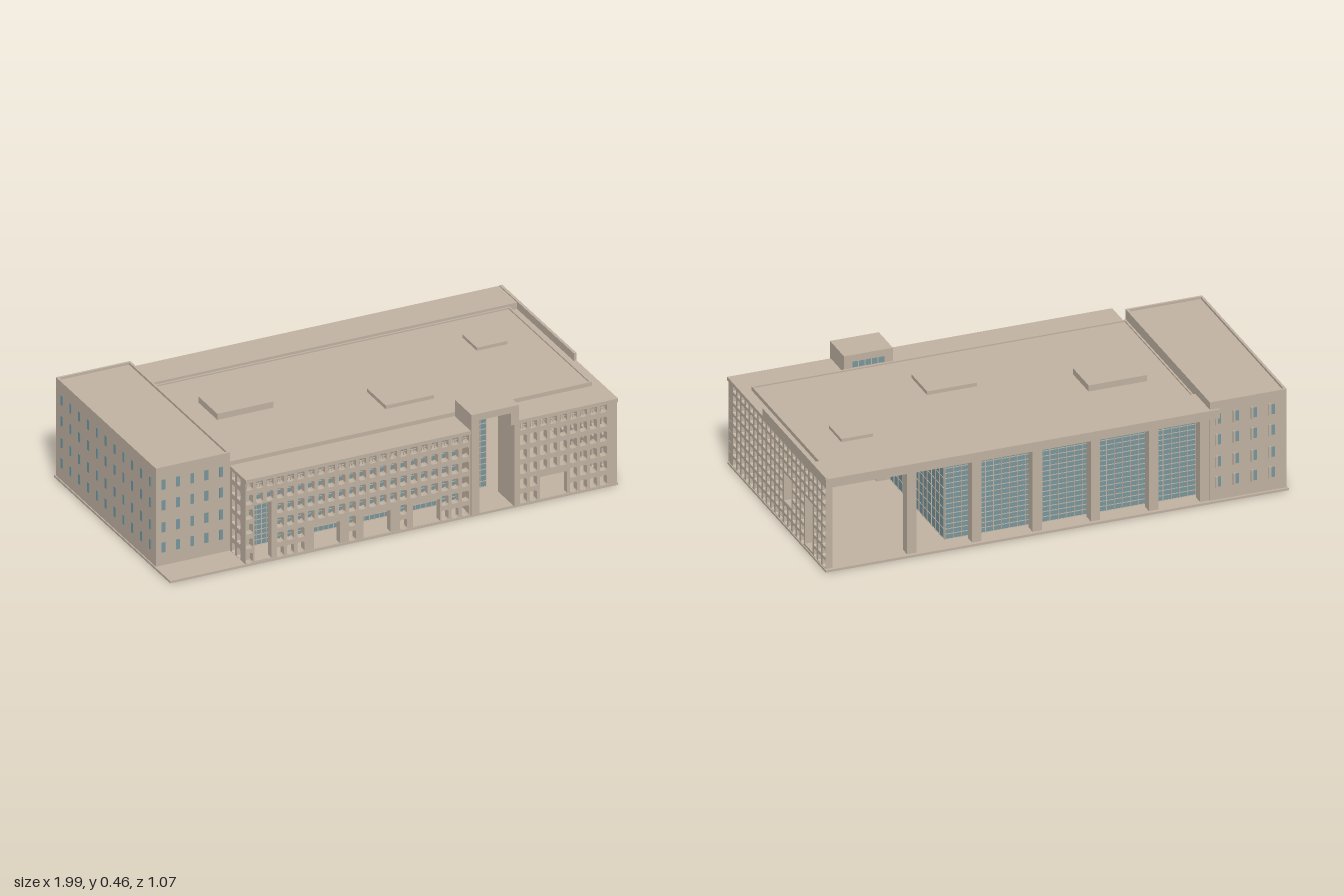
import * as THREE from 'three';

const stone = new THREE.MeshStandardMaterial({ color: 0xc0b2a2 });
stone.name = 'stone';
const glass = new THREE.MeshStandardMaterial({ color: 0x77969d, side: THREE.DoubleSide });
glass.name = 'glass';

// Box given by its limits on each axis
function box(parent, name, x0, x1, y0, y1, z0, z1, mat = stone) {
  const m = new THREE.Mesh(new THREE.BoxGeometry(x1 - x0, y1 - y0, z1 - z0), mat);
  m.position.set((x0 + x1) / 2, (y0 + y1) / 2, (z0 + z1) / 2);
  m.name = name;
  parent.add(m);
  return m;
}

// Hole outline with clipped corners
function holePath(u0, u1, v0, v1, c = 0.005) {
  return new THREE.Path([
    [u0 + c, v0], [u0, v0 + c], [u0, v1 - c], [u0 + c, v1],
    [u1 - c, v1], [u1, v1 - c], [u1, v0 + c], [u1 - c, v0],
  ].map(([u, v]) => new THREE.Vector2(u, v)));
}

// Perforated wall in the xy plane; the top row gets crossed bars
function screenWall(name, o) {
  const g = new THREE.Group();
  g.name = name;
  const s = new THREE.Shape();
  s.moveTo(o.u0, 0.01); s.lineTo(o.u1, 0.01); s.lineTo(o.u1, 0.382); s.lineTo(o.u0, 0.382);
  s.closePath();
  const openings = o.openings || [];
  for (const [a, b, c, d] of openings) s.holes.push(holePath(a, b, c, d, 0.001));
  for (let i = 0; i < o.cols; i++) {
    for (let j = 0; j < o.rows; j++) {
      const u = o.start + i * o.pitch, v = 0.358 - j * o.rise;
      const a = u - o.w / 2, b = u + o.w / 2, c = v - o.h / 2, d = v + o.h / 2;
      if (openings.some(([p, q, r, t]) => a < q + 0.003 && b > p - 0.003 && c < t + 0.003 && d > r - 0.003)) continue;
      s.holes.push(holePath(a, b, c, d));
      if (j === 0) {
        for (const k of [-1, 1]) {
          box(g, 'windowBar', u + k * 0.006 - 0.001, u + k * 0.006 + 0.001, c, d, 0.014, 0.018);
          box(g, 'windowBar', a, b, v + k * 0.006 - 0.001, v + k * 0.006 + 0.001, 0.014, 0.018);
        }
      }
    }
  }
  const m = new THREE.Mesh(new THREE.ExtrudeGeometry(s, { depth: 0.03, bevelEnabled: false }), stone);
  m.name = name + 'Panel';
  g.add(m);
  return g;
}

// Glass sheet in the xy plane with thin mullions on both sides
function glazing(name, u0, u1, v0, v1, nu, nv) {
  const g = new THREE.Group();
  g.name = name;
  box(g, 'pane', u0, u1, v0, v1, -0.002, 0.002, glass);
  for (let i = 0; i <= nu; i++) {
    const u = u0 + (u1 - u0) * i / nu;
    box(g, 'mullion', u - 0.0015, u + 0.0015, v0, v1, -0.005, 0.005);
  }
  for (let j = 0; j <= nv; j++) {
    const v = v0 + (v1 - v0) * j / nv;
    box(g, 'transom', u0, u1, v - 0.0015, v + 0.0015, -0.004, 0.004);
  }
  return g;
}

// Slab with a thin raised rim
function rimmedRoof(parent, name, x0, x1, y0, y1, z0, z1, rim, t) {
  box(parent, name, x0, x1, y0, y1, z0, z1);
  box(parent, name + 'Rim', x0, x0 + t, y1, y1 + rim, z0, z1);
  box(parent, name + 'Rim', x1 - t, x1, y1, y1 + rim, z0, z1);
  box(parent, name + 'Rim', x0 + t, x1 - t, y1, y1 + rim, z0, z0 + t);
  box(parent, name + 'Rim', x0 + t, x1 - t, y1, y1 + rim, z1 - t, z1);
}

export function createModel() {
  const model = new THREE.Group();
  model.name = 'building';
  const add = (g, x, z, ry = 0) => {
    g.position.set(x, 0, z);
    g.rotation.y = ry;
    model.add(g);
  };

  // Ground slab
  box(model, 'groundSlab', -0.995, 0.995, 0, 0.01, -0.535, 0.52);

  // Side block with small windows
  rimmedRoof(model, 'sideBlock', -0.99, -0.66, 0.01, 0.438, -0.525, 0.38, 0.01, 0.01);
  const levels = [0.09, 0.18, 0.278, 0.37];
  for (const y of levels) {
    for (let i = 0; i < 5; i++) {
      const x = -0.957 + i * 0.064;
      box(model, 'sideBlockFrontWindow', x - 0.008, x + 0.008, y - 0.022, y + 0.022, 0.378, 0.382, glass);
    }
    for (let i = 0; i < 4; i++) {
      const x = -0.93 + i * 0.077;
      box(model, 'sideBlockBackWindow', x - 0.008, x + 0.008, y - 0.022, y + 0.022, -0.528, -0.522, glass);
      box(model, 'windowFin', x + 0.008, x + 0.018, y - 0.026, y + 0.026, -0.532, -0.524);
    }
    for (let i = 0; i < 11; i++) {
      const z = -0.47 + i * 0.08;
      box(model, 'sideBlockEndWindow', -0.993, -0.987, y - 0.022, y + 0.022, z - 0.008, z + 0.008, glass);
    }
  }

  // Perforated outer walls
  const frontGrid = { rows: 6, rise: 0.065, w: 0.031, h: 0.044 };
  add(screenWall('frontScreen', {
    ...frontGrid, u0: -0.66, u1: 0.345, cols: 22, start: -0.642, pitch: 0.0457,
    openings: [[-0.62, -0.545, 0.015, 0.265], [-0.355, -0.24, 0.012, 0.11],
      [-0.135, -0.015, 0.012, 0.11], [0.085, 0.205, 0.012, 0.11]],
  }), 0, 0.488);
  add(screenWall('porchFrontScreen', {
    ...frontGrid, u0: 0.545, u1: 0.99, cols: 9, start: 0.575, pitch: 0.0445,
    openings: [[0.65, 0.77, 0.012, 0.11]],
  }), 0, 0.488);
  add(screenWall('endScreen', {
    u0: -0.518, u1: 0.522, cols: 23, rows: 8, start: -0.5, pitch: 0.0456, rise: 0.047, w: 0.031, h: 0.035,
    openings: [[0.078, 0.155, 0.11, 0.235], [0.302, 0.38, 0.02, 0.235]],
  }), 0.961, 0, Math.PI / 2);
  add(screenWall('arcadeEndScreen', {
    ...frontGrid, u0: -0.488, u1: -0.38, cols: 2, start: -0.456, pitch: 0.0457,
  }), -0.66, 0, Math.PI / 2);

  // Glass walls of the hall
  add(glazing('frontGlazing', -0.66, 0.345, 0.01, 0.37, 44, 16), 0, 0.38);
  add(glazing('backGlazing', -0.66, 0.45, 0.01, 0.37, 32, 16), 0, -0.45);
  add(glazing('porchGlazing', -0.13, 0.45, 0.01, 0.37, 13, 8), 0.45, 0, Math.PI / 2);
  box(model, 'porchWall', 0.495, 0.51, 0.01, 0.37, 0.13, 0.31);
  box(model, 'porchWallReturn', 0.45, 0.495, 0.01, 0.37, 0.13, 0.14);

  // Rear columns
  for (const x of [0.62, 0.34, 0.08, -0.17, -0.42, -0.64]) {
    box(model, 'rearColumn', x - 0.02, x + 0.02, 0.01, 0.375, -0.52, -0.475);
  }

  // Entrance portal: side walls, hood and tall window
  box(model, 'portalSide', 0.34, 0.375, 0.01, 0.375, 0.31, 0.53);
  box(model, 'portalSide', 0.53, 0.55, 0.01, 0.375, 0.38, 0.53);
  box(model, 'portalSideTop', 0.34, 0.375, 0.375, 0.43, 0.38, 0.53);
  box(model, 'portalSideTop', 0.515, 0.55, 0.375, 0.43, 0.38, 0.53);
  box(model, 'portalHood', 0.34, 0.55, 0.43, 0.46, 0.38, 0.53);
  add(glazing('entranceGlazing', 0.375, 0.508, 0.01, 0.37, 5, 14), 0, 0.315);
  const upper = glazing('entranceUpperGlazing', 0.375, 0.515, 0.37, 0.43, 5, 2);
  add(upper, 0, 0.386);

  // Roofs: low front strip, low end strip, main roof, raised rear strip
  box(model, 'frontRoofStrip', -0.66, 0.345, 0.37, 0.386, 0.37, 0.522);
  box(model, 'frontRoofStrip', 0.545, 0.995, 0.37, 0.386, 0.37, 0.522);
  box(model, 'endRoofStrip', 0.95, 0.995, 0.37, 0.386, -0.37, 0.37);
  rimmedRoof(model, 'mainRoof', -0.66, 0.95, 0.37, 0.398, -0.37, 0.375, 0.006, 0.008);
  box(model, 'rearRoofStrip', -0.66, 0.995, 0.375, 0.415, -0.535, -0.37);
  box(model, 'rearRoofEnd', -0.7, -0.66, 0.375, 0.415, -0.535, -0.52);
  box(model, 'endParapet', 0.983, 0.995, 0.386, 0.42, -0.53, 0.145);

  // Rooftop boxes
  box(model, 'roofBox', -0.535, -0.285, 0.395, 0.425, -0.16, 0.01);
  box(model, 'roofBox', 0.11, 0.325, 0.395, 0.414, 0.05, 0.22);
  box(model, 'roofBox', 0.665, 0.8, 0.395, 0.412, -0.215, -0.085);

  return model;
}
